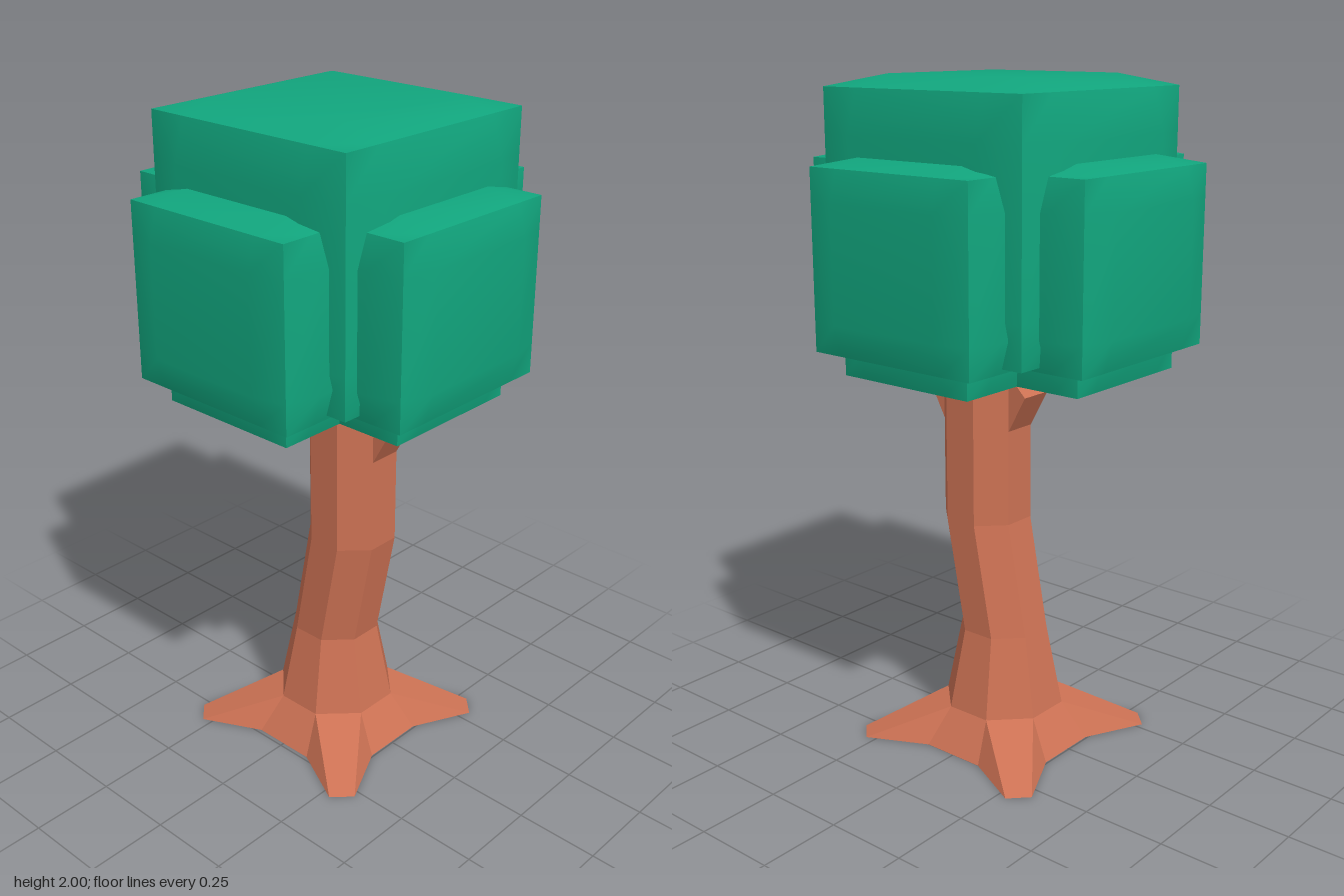
import * as THREE from 'three';

const leafMaterial = new THREE.MeshStandardMaterial({ color: 0x11a57d });
const barkMaterial = new THREE.MeshStandardMaterial({ color: 0xcd7254, flatShading: true });

// Box with sharp edges whose six faces swell into a shallow plateau
function bulgedBox(hx, hy, hz, bulge) {
  const geometry = new THREE.BoxGeometry(2, 2, 2, 3, 3, 3);
  const pos = geometry.attributes.position;
  const half = [hx, hy, hz];
  for (let i = 0; i < pos.count; i++) {
    const v = [pos.getX(i), pos.getY(i), pos.getZ(i)];
    const onFace = v.map((c) => Math.abs(c) > 0.99);
    const inside = onFace.filter(Boolean).length === 1;
    const moved = v.map((c, k) => {
      if (!onFace[k]) return Math.sign(c) * 0.645 * half[k];
      return Math.sign(c) * (half[k] + (inside ? bulge : 0));
    });
    pos.setXYZ(i, ...moved);
  }
  geometry.computeVertexNormals();
  return geometry;
}

// Repeats the points of one quarter around the y axis
function fourfold(quarter) {
  const ring = [];
  for (let k = 0; k < 4; k++) {
    for (const [px, pz] of quarter) {
      let x = px, z = pz;
      for (let r = 0; r < k; r++) [x, z] = [z, -x];
      ring.push([x, z]);
    }
  }
  return ring;
}

// Eight-sided bending trunk that spreads into four diagonal roots
function trunkGeometry() {
  const octagon = (h, f) => fourfold([[f, h], [f, h], [h, f], [h, f]]);
  const levels = [
    { y: 0, x: 0, ring: fourfold([[0.1, 0.245], [0.28, 0.334], [0.334, 0.28], [0.245, 0.1]]) },
    { y: 0.11, x: 0, ring: octagon(0.172, 0.071) },
    { y: 0.355, x: 0, ring: octagon(0.125, 0.052) },
    { y: 0.7, x: 0.066, ring: octagon(0.125, 0.052) },
    { y: 1.3, x: 0.066, ring: octagon(0.125, 0.052) },
  ];
  const points = levels.map((l) => l.ring.map(([x, z]) => new THREE.Vector3(x + l.x, l.y, z)));
  const out = [];
  const tri = (a, b, c) => {
    if (a.equals(b) || b.equals(c) || a.equals(c)) return;
    out.push(...a.toArray(), ...b.toArray(), ...c.toArray());
  };
  const n = points[0].length;
  const top = points.length - 1;
  const bottomCentre = new THREE.Vector3(0, 0, 0);
  const topCentre = new THREE.Vector3(levels[top].x, levels[top].y, 0);
  for (let i = 0; i < n; i++) {
    const j = (i + 1) % n;
    for (let l = 0; l < top; l++) {
      tri(points[l][i], points[l][j], points[l + 1][j]);
      tri(points[l][i], points[l + 1][j], points[l + 1][i]);
    }
    tri(bottomCentre, points[0][j], points[0][i]);
    tri(topCentre, points[top][i], points[top][j]);
  }
  const geometry = new THREE.BufferGeometry();
  geometry.setAttribute('position', new THREE.Float32BufferAttribute(out, 3));
  geometry.computeVertexNormals();
  return geometry;
}

// Wedge-shaped branch stump on one side of the trunk
function stumpGeometry(side) {
  const shape = new THREE.Shape([
    new THREE.Vector2(side * 0.12, 0.98),
    new THREE.Vector2(side * 0.186, 1.1),
    new THREE.Vector2(side * 0.12, 1.165),
  ]);
  const geometry = new THREE.ExtrudeGeometry(shape, { depth: 0.104, bevelEnabled: false });
  return geometry.translate(0.066, 0, -0.052);
}

export function createModel() {
  const model = new THREE.Group();
  model.name = 'tree';
  const add = (name, geometry, material, x, y, z) => {
    const mesh = new THREE.Mesh(geometry, material);
    mesh.name = name;
    mesh.position.set(x, y, z);
    model.add(mesh);
  };

  // Trunk with a stump to each side
  add('trunk', trunkGeometry(), barkMaterial, 0, 0, -0.008);
  add('leftBranchStump', stumpGeometry(1), barkMaterial, 0, 0, -0.008);
  add('rightBranchStump', stumpGeometry(-1), barkMaterial, 0, 0, -0.008);

  // Main block of the crown
  add('crownCore', bulgedBox(0.351, 0.35, 0.351, 0.034), leafMaterial, 0, 1.619, -0.012);

  // Four side blocks, each with a smaller block peeping out below it
  const sideBlock = bulgedBox(0.282, 0.255, 0.282, 0.025);
  const lowerBlock = bulgedBox(0.225, 0.225, 0.225, 0.02);
  const sides = { front: [0, 1], left: [1, 0], back: [0, -1], right: [-1, 0] };
  for (const [side, [dx, dz]] of Object.entries(sides)) {
    add(`${side}LeafBlock`, sideBlock, leafMaterial, dx * 0.204, 1.51, dz * 0.204 - 0.002);
    add(`${side}LowerLeafBlock`, lowerBlock, leafMaterial, dx * 0.205, 1.411, dz * 0.205 - 0.002);
  }
  return model;
}
